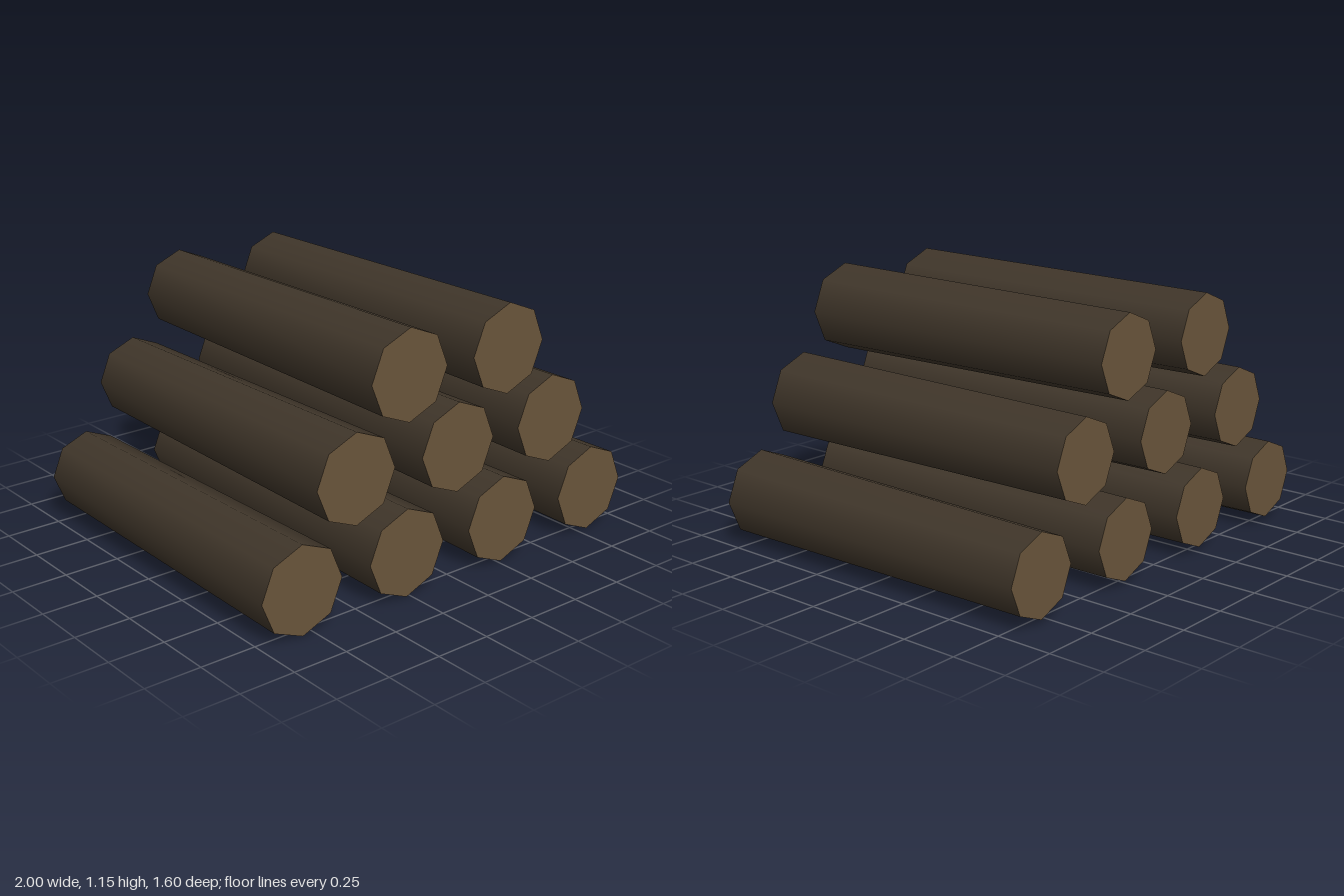
import * as THREE from 'three';

export function createModel() {
  const bark = new THREE.MeshStandardMaterial({ name: 'dark bark', color: 0x40362a });
  const cutWood = new THREE.MeshStandardMaterial({ name: 'cut wood', color: 0x6a553b });

  // Eight-sided log with smooth bark, slightly thicker at the front
  const logGeometry = new THREE.CylinderGeometry(0.196, 0.179, 1.6, 8);
  logGeometry.rotateX(Math.PI / 2);

  const pile = new THREE.Group();
  pile.name = 'logPile';

  // Rows of four, three and two logs, each row resting between the logs below
  const spacing = 0.536;
  const rows = [
    { name: 'bottom', count: 4, y: 0.198 },
    { name: 'middle', count: 3, y: 0.592 },
    { name: 'top', count: 2, y: 0.959 },
  ];
  for (const { name, count, y } of rows) {
    const row = new THREE.Group();
    row.name = `${name}Row`;
    for (let i = 0; i < count; i++) {
      // Material groups: side, front cap, back cap
      const log = new THREE.Mesh(logGeometry, [bark, cutWood, cutWood]);
      log.name = `${name}Log${i + 1}`;
      log.position.set((i - (count - 1) / 2) * spacing, y, 0);
      row.add(log);
    }
    pile.add(row);
  }
  return pile;
}
